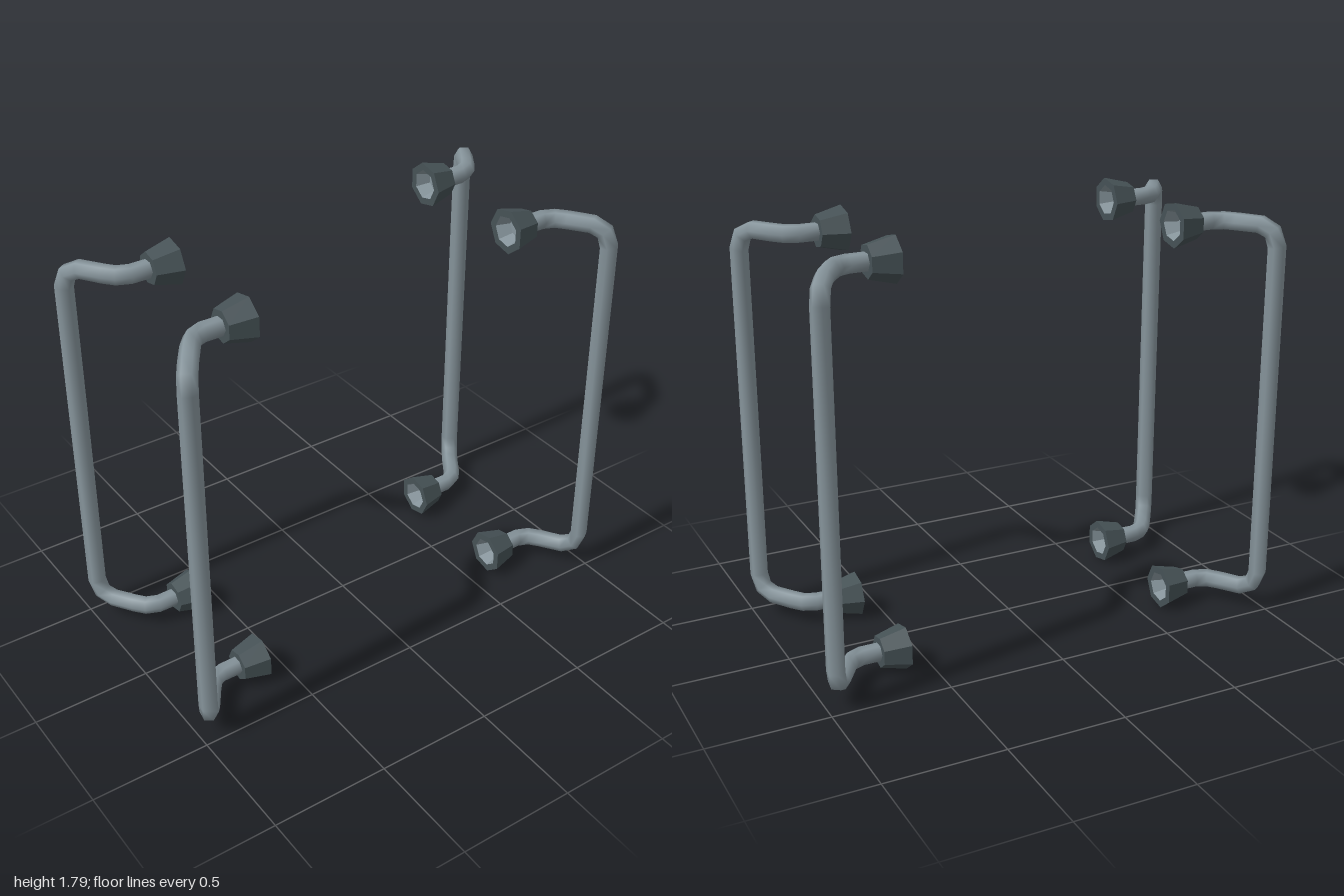
import * as THREE from 'three';

const MID_Y = 0.896;   // half height of the whole set
const CUP_Y = 0.802;   // cup height above / below the middle
const CUP_Z = 0.264;

// Hexagonal bar swept along a list of points, with the frame carried through each bend
function sweep(points, radius, sides) {
  const pos = [], index = [];
  const n = points.length;
  const prev = new THREE.Vector3(1, 0, 0);
  const u = new THREE.Vector3(0, 0, 1), v = new THREE.Vector3(0, -1, 0);
  const turn = new THREE.Quaternion();
  points.forEach((p, i) => {
    const before = p.clone().sub(points[Math.max(i - 1, 0)]).normalize();
    const after = points[Math.min(i + 1, n - 1)].clone().sub(p).normalize();
    const tangent = before.add(after).normalize();
    turn.setFromUnitVectors(prev, tangent);
    u.applyQuaternion(turn);
    v.applyQuaternion(turn);
    prev.copy(tangent);
    for (let s = 0; s < sides; s++) {
      const a = (s / sides) * Math.PI * 2;
      const q = p.clone()
        .addScaledVector(u, radius * Math.cos(a))
        .addScaledVector(v, radius * Math.sin(a));
      pos.push(q.x, q.y, q.z);
      if (i < n - 1) {
        const A = i * sides + s, B = i * sides + (s + 1) % sides;
        index.push(A, B, A + sides, B, B + sides, A + sides);
      }
    }
  });
  const g = new THREE.BufferGeometry();
  g.setAttribute('position', new THREE.Float32BufferAttribute(pos, 3));
  g.setIndex(index);
  g.computeVertexNormals();
  return g;
}

// Seven-sided faceted turning along the x axis; profile is [radius, x]
function facetedTurning(profile) {
  const pts = profile.map(([r, x]) => new THREE.Vector2(r, -x));
  const g = new THREE.LatheGeometry(pts, 7, Math.PI).rotateZ(Math.PI / 2).toNonIndexed();
  g.computeVertexNormals();
  return g;
}

export function createModel() {
  const steel = new THREE.MeshStandardMaterial({ color: 0x87959c });
  steel.name = 'steel grey';
  const rubber = new THREE.MeshStandardMaterial({ color: 0x465256 });
  rubber.name = 'dark grey';

  // Lower half of the bar path, mirrored for the upper half
  const lower = [
    [0.66, -CUP_Y, CUP_Z], [0.785, -CUP_Y, CUP_Z], [0.835, -CUP_Y, 0.285], [0.868, -CUP_Y, 0.325],
    [0.925, -CUP_Y, 0.41], [0.955, -CUP_Y + 0.025, 0.453], [0.967, -CUP_Y + 0.085, 0.471],
  ].map((p) => new THREE.Vector3(...p));
  const upper = lower.map((p) => new THREE.Vector3(p.x, -p.y, p.z)).reverse();
  const barGeometry = sweep([...lower, ...upper], 0.038, 6);

  // Flared cup with a rim, and the pale socket inside it
  const cupGeometry = facetedTurning([[0.03, 0.71], [0.067, 0.71], [0.095, 0.6], [0.064, 0.6]]);
  const socketGeometry = facetedTurning([[0.064, 0.6], [0.046, 0.66], [0.001, 0.66]]);

  const model = new THREE.Group();
  model.name = 'handleSet';
  // Each handle is symmetric top to bottom, so half turns act as mirrors
  const placements = [
    ['frontLeftHandle', 0, 0, 0],
    ['backLeftHandle', Math.PI, 0, 0],
    ['frontRightHandle', 0, 0, Math.PI],
    ['backRightHandle', 0, Math.PI, 0],
  ];
  for (const [name, rx, ry, rz] of placements) {
    const handle = new THREE.Group();
    handle.name = name;
    handle.position.y = MID_Y;
    handle.rotation.set(rx, ry, rz);
    const add = (part, geometry, material, y, z) => {
      const mesh = new THREE.Mesh(geometry, material);
      mesh.name = part;
      mesh.position.set(0, y, z);
      handle.add(mesh);
    };
    add('bar', barGeometry, steel, 0, 0);
    for (const side of [-1, 1]) {
      add('mountingCup', cupGeometry, rubber, side * CUP_Y, CUP_Z);
      add('cupSocket', socketGeometry, steel, side * CUP_Y, CUP_Z);
    }
    model.add(handle);
  }
  return model;
}
